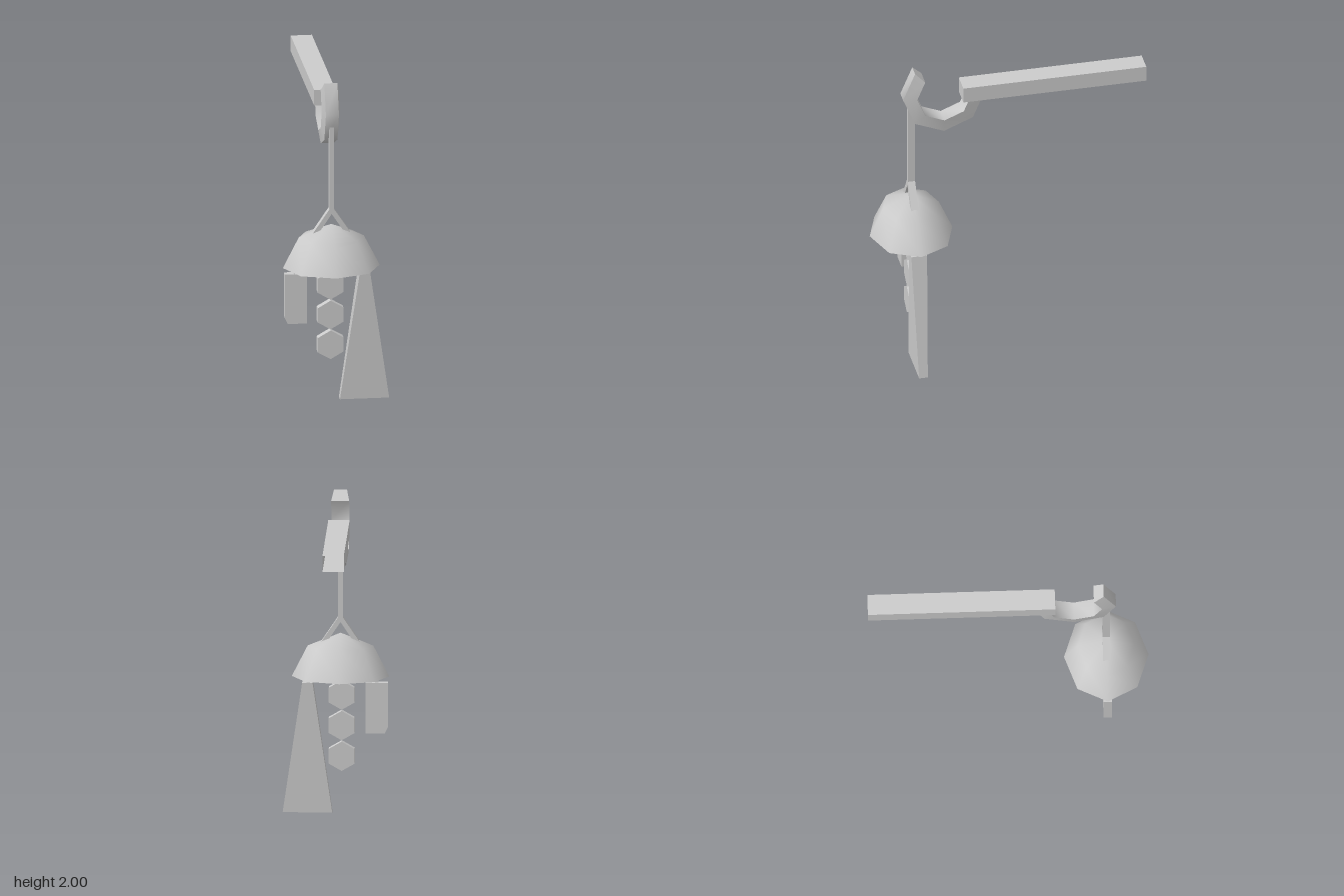
import * as THREE from 'three';
import { toCreasedNormals } from 'three/addons/utils/BufferGeometryUtils.js';

const CX = -0.03; // shared centre line of the hook, rope and dome
const CZ = 0.597; // depth at which everything hangs

export function createModel() {
  const model = new THREE.Group();
  const material = new THREE.MeshStandardMaterial({ color: 0xcccccc });
  const twoSided = new THREE.MeshStandardMaterial({ color: 0xcccccc, side: THREE.DoubleSide });

  function add(name, geometry, x, y, z, mat = material) {
    const mesh = new THREE.Mesh(geometry, mat);
    mesh.name = name;
    mesh.position.set(x, y, z);
    model.add(mesh);
    return mesh;
  }

  // Flat outline in x, y, given thickness and centred in depth
  function plate(points, depth) {
    const shape = new THREE.Shape(points.map(([x, y]) => new THREE.Vector2(x, y)));
    const g = new THREE.ExtrudeGeometry(shape, { depth, bevelEnabled: false });
    return g.translate(0, 0, -depth / 2);
  }

  // Beam, hollow at the back end
  const beam = new THREE.BoxGeometry(0.13, 0.1, 1.14);
  beam.setIndex(Array.from(beam.index.array).slice(0, 30));
  add('beam', beam, CX, 1.82, -0.285, twoSided);

  // Hook: a tapered section swept round five sides of an octagon
  const section = [[0.255, 0.04], [0.255, -0.04], [0.17, -0.055], [0.17, 0.055]];
  const positions = [];
  const index = [];
  const steps = 5;
  for (let k = 0; k <= steps; k++) {
    const a = Math.PI / 4 * (1 - k);
    for (const [r, x] of section) positions.push(x, r * Math.sin(a), r * Math.cos(a));
  }
  for (let k = 0; k < steps; k++) {
    for (let i = 0; i < 4; i++) {
      const a = k * 4 + i, b = k * 4 + (i + 1) % 4;
      index.push(a, b, b + 4, a, b + 4, a + 4);
    }
  }
  const e = steps * 4;
  index.push(0, 2, 1, 0, 3, 2, e, e + 1, e + 2, e, e + 2, e + 3);
  const hook = new THREE.BufferGeometry();
  hook.setAttribute('position', new THREE.Float32BufferAttribute(positions, 3));
  hook.setIndex(index);
  add('hook', toCreasedNormals(hook, 1), CX, 1.82, 0.4);

  // Rope that forks into two legs above the dome
  const rightHalf = [[0.08, 1.06], [0.115, 1.06], [0.014, 1.21], [0.014, 1.73]];
  const leftHalf = rightHalf.map(([x, y]) => [-x, y]).reverse();
  add('forkedRope', plate([[0, 1.18], ...rightHalf, ...leftHalf], 0.045), CX, 0, CZ);

  // Eight-sided dome with a closed underside
  const profile = [[0, 0.84], [0.297, 0.84], [0.2, 1.03], [0, 1.11]];
  const dome = new THREE.LatheGeometry(profile.map(([r, y]) => new THREE.Vector2(r, y)), 8);
  dome.scale(1, 1, 0.867);
  add('dome', toCreasedNormals(dome, 1), CX, 0, CZ);

  // Short strings under the dome
  for (const x of [-0.25, -0.037, 0.167]) {
    add('string', new THREE.BoxGeometry(0.022, 0.06, 0.044), x, 0.82, CZ);
  }

  // Small tag with one clipped corner
  const tag = [[-0.3, 0.49], [-0.183, 0.49], [-0.183, 0.805], [-0.318, 0.805], [-0.318, 0.53]];
  add('tag', plate(tag, 0.05), 0, 0, CZ);

  // Column of hexagonal charms
  const hexagon = [];
  for (let i = 0; i < 6; i++) {
    const a = Math.PI / 6 + i * Math.PI / 3;
    hexagon.push([0.091 * Math.cos(a), 0.091 * Math.sin(a)]);
  }
  for (const y of [0.727, 0.538, 0.348]) {
    add('hexagonCharm', plate(hexagon, 0.05), -0.037, y, CZ);
  }

  // Long pendant: wider but thinner towards the bottom
  const pendant = new THREE.BoxGeometry(1, 0.805, 1);
  const p = pendant.attributes.position;
  for (let i = 0; i < p.count; i++) {
    const top = p.getY(i) > 0;
    p.setX(i, p.getX(i) * (top ? 0.064 : 0.302));
    p.setZ(i, p.getZ(i) * (top ? 0.098 : 0.054));
  }
  pendant.computeVertexNormals();
  add('pendant', pendant, 0.171, 0.4025, CZ);

  return model;
}
